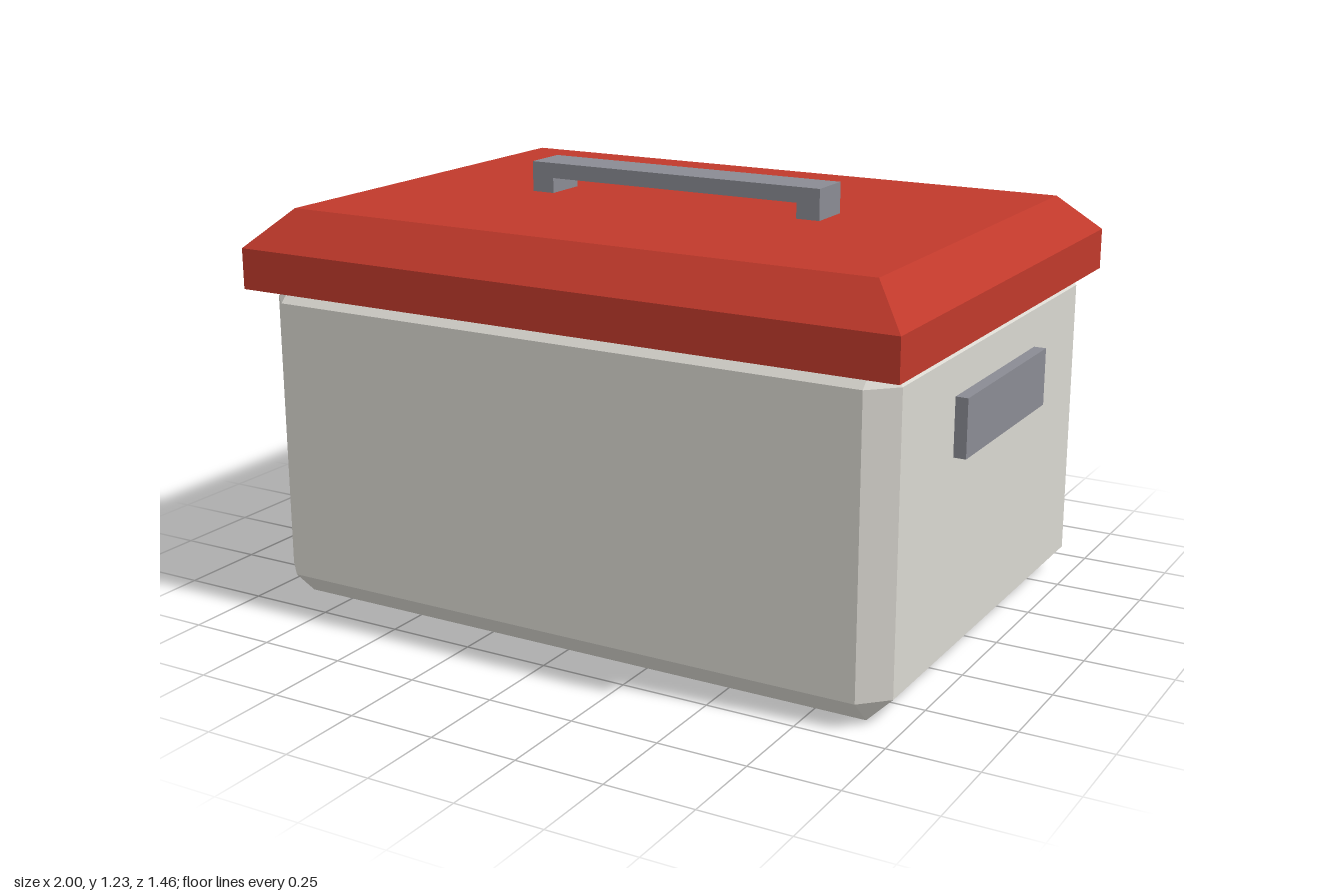
import * as THREE from 'three';
import { ConvexGeometry } from 'three/addons/geometries/ConvexGeometry.js';

const material = (name, color) => {
  const m = new THREE.MeshStandardMaterial({ color });
  m.name = name;
  return m;
};

// The four corners of a level rectangle, by half width and half depth
const rect = (hx, y, hz) =>
  [[1, 1], [1, -1], [-1, -1], [-1, 1]].map(([sx, sz]) => new THREE.Vector3(sx * hx, y, sz * hz));

export function createModel() {
  const model = new THREE.Group();
  model.name = 'coolBox';
  const shell = material('warm light grey', 0xd9d7d0);
  const red = material('red', 0xc0392b);
  const grey = material('slate grey', 0x8a8b93);

  const add = (name, geometry, mat, x = 0, y = 0, z = 0, parent = model) => {
    const mesh = new THREE.Mesh(geometry, mat);
    mesh.name = name;
    mesh.position.set(x, y, z);
    parent.add(mesh);
    return mesh;
  };

  // Body: box with every edge chamfered and triangular corners
  const hx = 0.965, hz = 0.7, h = 0.955, c = 0.072;
  add('body', new ConvexGeometry([
    ...rect(hx - c, 0, hz - c), ...rect(hx - c, h, hz - c),
    ...rect(hx, c, hz - c), ...rect(hx, h - c, hz - c),
    ...rect(hx - c, c, hz), ...rect(hx - c, h - c, hz),
  ]), shell);

  // Lid: overhanging slab with a sloped upper rim
  add('lid', new ConvexGeometry([
    ...rect(1, 0.918, 0.73), ...rect(1, 1.035, 0.73), ...rect(0.893, 1.141, 0.623),
  ]), red);

  // Carrying handle: bar on two posts
  const handle = new THREE.Group();
  handle.name = 'topHandle';
  model.add(handle);
  add('handleBar', new THREE.BoxGeometry(0.93, 0.044, 0.13), grey, 0, 1.207, 0, handle);
  for (const [side, s] of [['left', 1], ['right', -1]]) {
    add(side + 'HandlePost', new THREE.BoxGeometry(0.07, 0.045, 0.13), grey, s * 0.43, 1.1625, 0, handle);
    // Side grips
    add(side + 'Grip', new THREE.BoxGeometry(0.045, 0.163, 0.575), grey, s * 0.9775, 0.693, 0);
  }
  return model;
}
